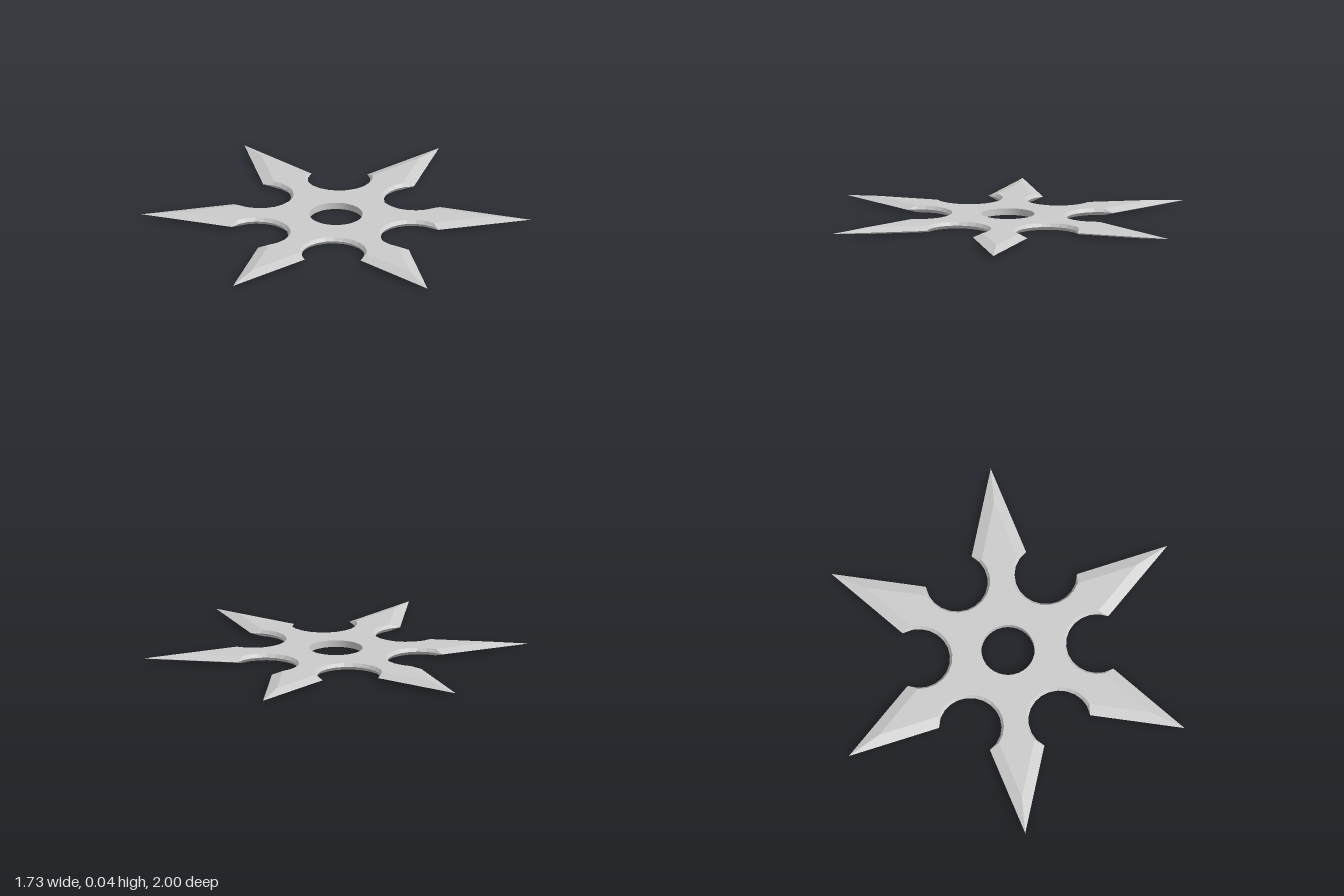
import * as THREE from 'three';
import { mergeGeometries } from 'three/addons/utils/BufferGeometryUtils.js';

const HALF = 0.0175;       // half thickness
const HOLE = 0.137;        // centre hole radius
const NOTCH_X = 0.46;      // distance of notch centres from the middle
const NOTCH_R = 0.16;      // notch radius at the cutting edge
const BEVEL = 0.013;       // notch bevel width
const RIDGE = 0.81;        // where the flat of a blade comes to a point
const BARB = 64, FLAT = 83; // arc end angles: at the barb, at the flat face
const STEPS = 12;

const rad = THREE.MathUtils.degToRad;
const polar = (r, deg) => new THREE.Vector2(r * Math.cos(rad(deg)), r * Math.sin(rad(deg)));

// Matching outlines of the outer edge (mid height) and the flat face
function outlines() {
  const edge = [], face = [];
  const origin = new THREE.Vector2();
  for (let k = 0; k < 6; k++) {
    const turn = rad(k * 60);
    const add = (e, f) => {
      edge.push(e.rotateAround(origin, turn));
      face.push(f.rotateAround(origin, turn));
    };
    const onNotch = (r, deg) => polar(r, deg).add(new THREE.Vector2(NOTCH_X, 0));
    add(polar(1, -30), polar(RIDGE, -30));
    add(onNotch(NOTCH_R, 360 - BARB), onNotch(NOTCH_R + BEVEL, 360 - FLAT));
    for (let i = 0; i <= STEPS; i++) {
      const a = 360 - FLAT - (i / STEPS) * (360 - 2 * FLAT);
      add(onNotch(NOTCH_R, a), onNotch(NOTCH_R + BEVEL, a));
    }
    add(onNotch(NOTCH_R, BARB), onNotch(NOTCH_R + BEVEL, FLAT));
  }
  return { edge, face };
}

// Sloping facets between the edge and the flat face
function bevelGeometry(edge, face) {
  const pos = [];
  const put = (p, y) => pos.push(p.x, y, -p.y);
  edge.forEach((a, i) => {
    const j = (i + 1) % edge.length;
    const b = edge[j], fa = face[i], fb = face[j];
    put(a, 0); put(b, 0); put(fb, HALF);
    if (fa.distanceTo(fb) > 1e-5) { put(a, 0); put(fb, HALF); put(fa, HALF); }
  });
  const g = new THREE.BufferGeometry();
  g.setAttribute('position', new THREE.Float32BufferAttribute(pos, 3));
  g.computeVertexNormals();
  return g;
}

// Flat face with the round hole
function faceGeometry(face) {
  const shape = new THREE.Shape(face.filter((p, i) => i === 0 || p.distanceTo(face[i - 1]) > 1e-5));
  shape.holes.push(new THREE.Path().absarc(0, 0, HOLE, 0, Math.PI * 2, true));
  const g = new THREE.ShapeGeometry(shape, 16).toNonIndexed();
  g.deleteAttribute('uv');
  return g.rotateX(-Math.PI / 2).translate(0, HALF, 0);
}

export function createModel() {
  const group = new THREE.Group();
  group.name = 'throwingStar';
  const { edge, face } = outlines();
  const half = mergeGeometries([bevelGeometry(edge, face), faceGeometry(face)]);

  // Two identical halves, the lower one turned over
  const steel = new THREE.MeshStandardMaterial({ color: 0xcccccc, flatShading: true });
  for (const name of ['upperHalf', 'lowerHalf']) {
    const mesh = new THREE.Mesh(half, steel);
    mesh.name = name;
    mesh.position.y = HALF;
    if (name === 'lowerHalf') mesh.rotation.x = Math.PI;
    group.add(mesh);
  }

  // Wall of the centre hole
  const wall = new THREE.Mesh(
    new THREE.CylinderGeometry(HOLE, HOLE, HALF * 2, 32, 1, true),
    new THREE.MeshStandardMaterial({ color: 0xcccccc, side: THREE.DoubleSide })
  );
  wall.name = 'holeWall';
  wall.position.y = HALF;
  group.add(wall);
  return group;
}
